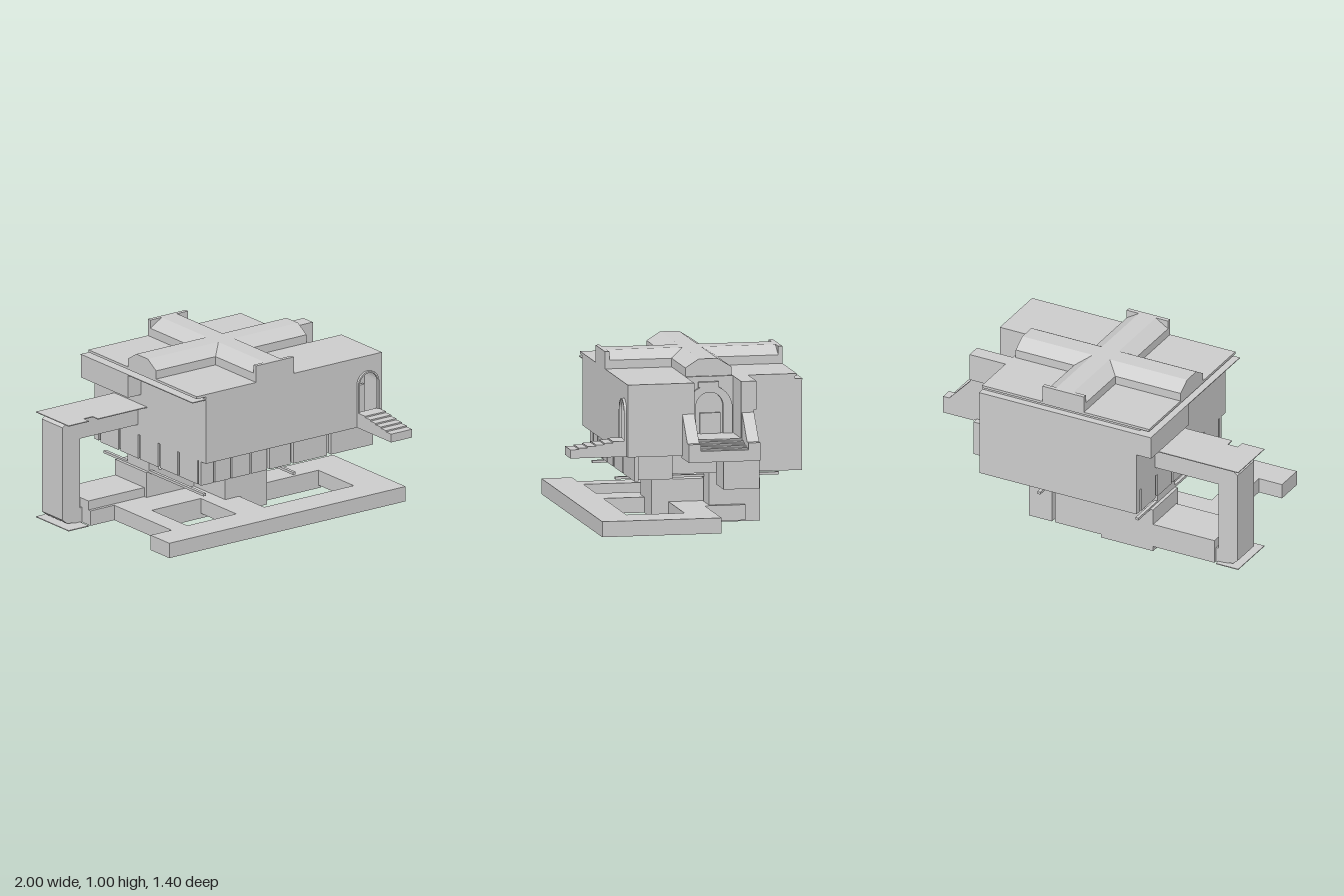
import * as THREE from 'three';

const mat = new THREE.MeshStandardMaterial({ color: 0xcccccc, flatShading: true, side: THREE.DoubleSide });

export function createModel() {
  const model = new THREE.Group();
  const add = (name, geometry) => {
    const m = new THREE.Mesh(geometry, mat);
    m.name = name;
    model.add(m);
  };
  // box given by its limits on each axis
  const box = (name, x0, x1, y0, y1, z0, z1) => {
    const g = new THREE.BoxGeometry(x1 - x0, y1 - y0, z1 - z0);
    g.translate((x0 + x1) / 2, (y0 + y1) / 2, (z0 + z1) / 2);
    add(name, g);
  };
  const polygon = pts => new THREE.Shape(pts.map(p => new THREE.Vector2(...p)));
  // profile in (x, y), running from z0 to z1
  const alongZ = (name, shape, z0, z1) => {
    const g = new THREE.ExtrudeGeometry(shape, { depth: z1 - z0, bevelEnabled: false, curveSegments: 8 });
    g.translate(0, 0, z0);
    add(name, g);
  };
  // profile in (-z, y), running from x0 to x1
  const alongX = (name, shape, x0, x1) => {
    const g = new THREE.ExtrudeGeometry(shape, { depth: x1 - x0, bevelEnabled: false, curveSegments: 8 });
    g.rotateY(Math.PI / 2);
    g.translate(x0, 0, 0);
    add(name, g);
  };
  const rect = (a0, a1, b0, b1) => polygon([[a0, b0], [a1, b0], [a1, b1], [a0, b1]]);
  const arch = (a0, a1, b0, top) => {
    const r = (a1 - a0) / 2;
    const p = new THREE.Shape();
    p.moveTo(a0, b0);
    p.lineTo(a1, b0);
    p.lineTo(a1, top - r);
    p.absarc((a0 + a1) / 2, top - r, r, 0, Math.PI, false);
    p.lineTo(a0, b0);
    return p;
  };

  // main hall
  box('hall', -0.44, 0.585, 0.48, 0.9, -0.66, 0.37);
  box('backWall', -0.44, 0.585, 0.34, 0.87, -0.7, -0.66);
  box('roofSlab', -0.505, 0.585, 0.885, 0.9, -0.67, 0.37);
  box('roofRim', -0.535, 0.585, 0.865, 0.87, -0.705, 0.37);
  box('leftEave', -0.535, -0.44, 0.73, 0.87, -0.7, -0.25);

  // cross-shaped chamfered roof
  const ridge = (a0, a1, f0, f1) =>
    polygon([[a0, 0.9], [a1, 0.9], [a1, 0.95], [f1, 1], [f0, 1], [a0, 0.95]]);
  alongZ('longRidge', ridge(-0.08, 0.19, 0, 0.11), -0.66, 0.36);
  alongX('crossRidge', ridge(0.02, 0.29, 0.1, 0.21), -0.505, 0.57);
  box('frontParapet', -0.08, 0.19, 0.9, 1, 0.345, 0.37);
  box('backParapet', -0.08, 0.19, 0.9, 1, -0.67, -0.645);

  // front wing with an arched door
  const doorWall = rect(0.585, 0.82, 0.48, 0.9);
  doorWall.holes.push(arch(0.64, 0.79, 0.5, 0.81));
  alongZ('doorWall', doorWall, 0.24, 0.37);
  box('frontWing', 0.585, 0.82, 0.48, 0.9, -0.02, 0.24);
  const doorFrame = arch(0.64, 0.79, 0.48, 0.81);
  doorFrame.holes.push(arch(0.65, 0.78, 0.5, 0.8));
  alongZ('doorFrame', doorFrame, 0.37, 0.385);
  box('doorPanel', 0.66, 0.77, 0.5, 0.69, 0.25, 0.27);

  // front steps
  for (let i = 0; i < 6; i++) {
    const end = 0.45 + i * 0.05;
    box('frontStep', 0.64, 0.79, 0.48, 0.57 - i * 0.008, i ? end - 0.05 : 0.37, end);
  }

  // side entrance with portal, parapets and shallow steps
  box('sideWingWall', 0.585, 0.82, 0.47, 0.735, -0.37, -0.295);
  box('sideWingTop', 0.585, 0.82, 0.735, 0.9, -0.385, -0.295);
  const portal = arch(0.02, 0.29, 0.53, 0.85);
  portal.holes.push(arch(0.075, 0.235, 0.55, 0.81));
  alongX('portalArch', portal, 0.585, 0.605);
  box('portalKeystone', 0.585, 0.605, 0.84, 0.87, -0.21, -0.09);
  box('sideDoor', 0.58, 0.6, 0.55, 0.69, -0.22, -0.1);
  box('sideFloor', 0.585, 0.82, 0.47, 0.57, -0.3, -0.02);
  const parapet = polygon([[0.8, 0.465], [1, 0.465], [1, 0.57], [0.96, 0.57], [0.82, 0.72], [0.8, 0.72]]);
  for (const z of [-0.37, -0.02]) alongZ('sideParapet', parapet, z, z + 0.07);
  for (let i = 0; i < 5; i++) {
    box('sideStep', 0.82 + i * 0.036, 0.856 + i * 0.036, 0.465, 0.562 - i * 0.008, -0.3, -0.02);
  }

  // lower storey with panelled walls
  box('lowerStorey', -0.43, 0.585, 0.34, 0.48, -0.66, 0.3);
  box('lowerWing', 0.585, 0.78, 0.34, 0.48, 0.1, 0.3);
  box('hangingRoom', 0.57, 0.78, 0.27, 0.48, -0.41, -0.2);
  const panels = [[-0.44, -0.35], [-0.34, -0.23], [-0.22, -0.09], [-0.08, 0.03], [0.05, 0.2], [0.22, 0.46], [0.49, 0.79]];
  for (const [a, b] of panels) box('lowerPanel', a, b, 0.335, 0.48, 0.3, 0.325);
  for (let i = 0; i < 5; i++) {
    const z = -0.64 + i * 0.19;
    box('lowerSidePanel', -0.44, -0.43, 0.335, 0.48, z, z + 0.17);
  }

  // base frame with two openings
  const frame = polygon([
    [-0.82, -0.53], [0.87, -0.53], [0.87, 0.17], [0.4, 0.17], [0.4, 0.41],
    [-0.84, 0.41], [-0.84, 0.2], [-0.67, 0.2], [-0.67, -0.35], [-0.82, -0.35],
  ]);
  frame.holes.push(rect(0.0, 0.64, -0.34, 0), rect(-0.55, -0.2, -0.34, 0));
  const frameGeo = new THREE.ExtrudeGeometry(frame, { depth: 0.09, bevelEnabled: false });
  frameGeo.rotateX(-Math.PI / 2);
  frameGeo.translate(0, 0.03, 0);
  add('baseFrame', frameGeo);
  box('leftBasePlate', -0.44, -0.1, 0, 0.03, -0.5, 0);
  box('rightBasePlate', 0.2, 0.66, 0.012, 0.03, -0.15, 0);

  // low barrel vault in the middle of the frame
  const vault = new THREE.Shape();
  vault.moveTo(-0.1, 0.03);
  vault.lineTo(0.2, 0.03);
  vault.lineTo(0.2, 0.25);
  vault.quadraticCurveTo(0.05, 0.31, -0.1, 0.25);
  alongZ('barrelVault', vault, -0.2, 0.1);

  // rear corridor and the posts carrying the hall
  box('corridor', -0.44, 0.2, 0.02, 0.27, -0.5, -0.2);
  box('corridorEnd', 0.22, 0.37, 0.02, 0.27, -0.5, -0.2);
  box('lowCorridor', -0.84, -0.44, 0.03, 0.175, -0.5, -0.22);
  for (const [a, b] of [[-0.42, -0.35], [0.22, 0.37]]) {
    box('post', a, b, 0.12, 0.34, -0.41, -0.2);
    box('postBeam', a, a + 0.02, 0.265, 0.28, -0.64, 0.32);
  }

  // bent duct on the left-hand end
  const duct = polygon([
    [-0.44, 0.67], [-0.86, 0.67], [-0.95, 0.65], [-0.98, 0.63], [-0.98, 0.07], [-0.95, 0.045], [-0.86, 0.03],
    [-0.8, 0.03], [-0.8, 0.12], [-0.855, 0.12], [-0.855, 0.54], [-0.44, 0.54],
  ]);
  alongZ('duct', duct, -0.48, -0.28);
  for (const y of [0.03, 0.665]) {
    box('ductFlange', -1, -0.855, y, y + 0.005, -0.51, -0.195);
  }
  box('ductCover', -0.855, -0.44, 0.665, 0.67, -0.51, -0.245);
  box('ductCollar', -0.79, -0.44, 0.665, 0.67, -0.245, -0.195);
  return model;
}
